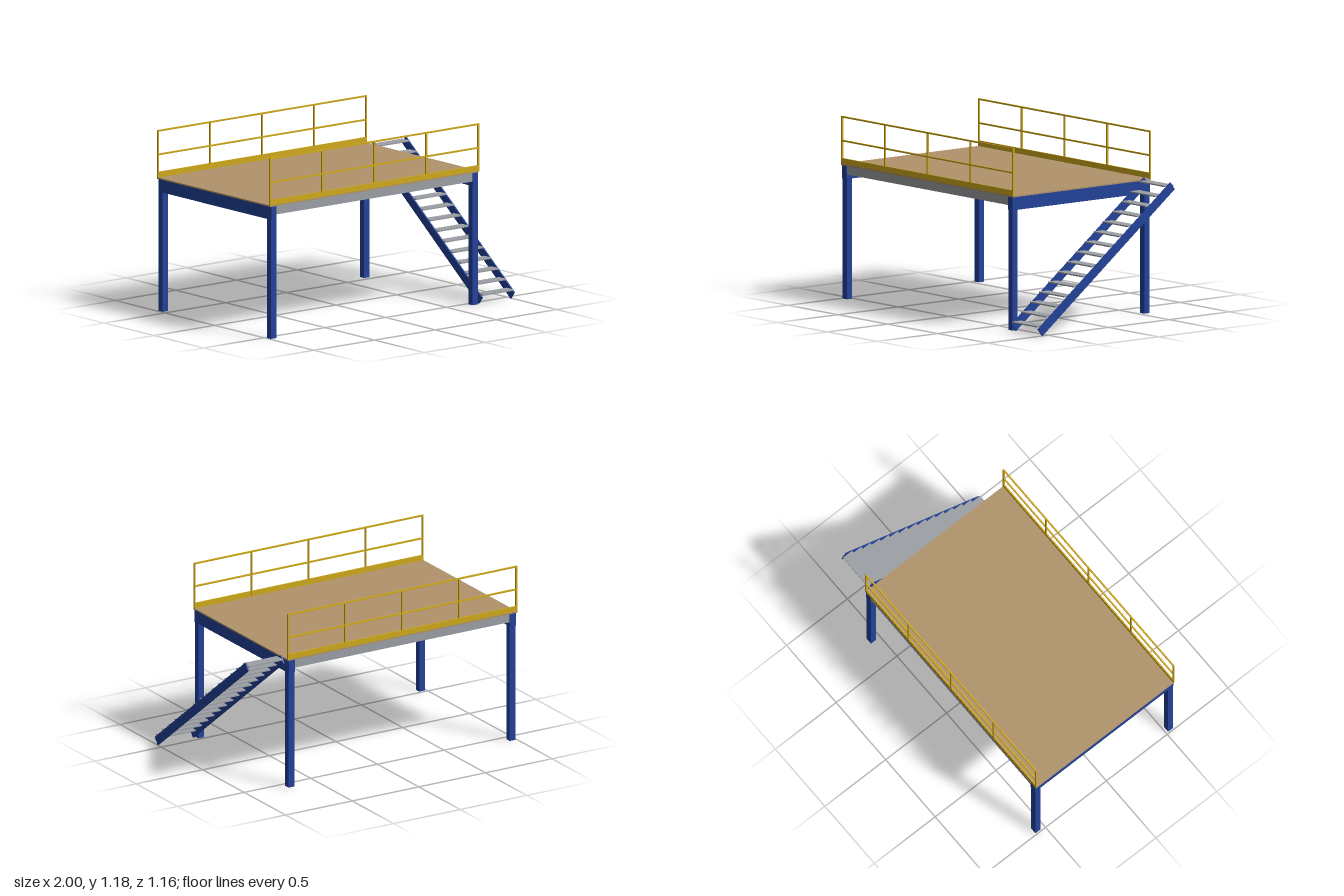
import * as THREE from 'three';

const material = (name, color) => {
  const m = new THREE.MeshStandardMaterial({ color });
  m.name = name;
  return m;
};

export function createModel() {
  const blue = material('blue steel', 0x23429a);
  const yellow = material('safety yellow', 0xd0aa1c);
  const grey = material('galvanised grey', 0x9c9fa4);
  const tan = material('tan decking', 0xb0936b);

  const model = new THREE.Group();
  model.name = 'mezzaninePlatform';

  // Box given by its lower and upper limits on each axis
  const box = (parent, name, mat, [x0, x1], [y0, y1], [z0, z1]) => {
    const mesh = new THREE.Mesh(new THREE.BoxGeometry(x1 - x0, y1 - y0, z1 - z0), mat);
    mesh.position.set((x0 + x1) / 2, (y0 + y1) / 2, (z0 + z1) / 2);
    mesh.name = name;
    parent.add(mesh);
    return mesh;
  };
  const group = (name) => {
    const g = new THREE.Group();
    g.name = name;
    model.add(g);
    return g;
  };

  const left = -1, right = 0.72, back = -0.58, front = 0.56;

  // Deck
  box(model, 'deck', tan, [left, right], [0.861, 0.87], [back, front]);

  // Posts and the two end beams
  const frame = group('frame');
  for (const x of [[-0.99, -0.946], [0.669, 0.713]]) {
    for (const z of [[-0.575, -0.534], [0.516, 0.556]]) box(frame, 'post', blue, x, [0, 0.86], z);
    box(frame, 'endBeam', blue, x, [0.776, 0.861], [back + 0.001, front - 0.001]);
  }

  // Joists between the end beams
  const joists = group('joists');
  const joistCount = 7, joistWidth = 0.045;
  for (let i = 0; i < joistCount; i++) {
    const z = THREE.MathUtils.lerp(back + 0.005, front - 0.005 - joistWidth, i / (joistCount - 1));
    box(joists, 'joist', grey, [-0.946, 0.669], [0.805, 0.861], [z, z + joistWidth]);
  }

  // Guard rails along the front and back edges
  for (const [name, z] of [['frontRail', front - 0.005], ['backRail', back + 0.005]]) {
    const rail = group(name);
    const depth = [z - 0.005, z + 0.005];
    for (let i = 0; i < 5; i++) {
      const x = THREE.MathUtils.lerp(left + 0.005, right - 0.003, i / 4);
      box(rail, 'railPost', yellow, [x - 0.005, x + 0.005], [0.868, 1.178], depth);
    }
    for (const y of [1.019, 1.173]) box(rail, 'railBar', yellow, [left, right], [y - 0.005, y + 0.005], depth);
    box(rail, 'toeBoard', yellow, [left, right], [0.868, 0.906], [z - 0.0045, z + 0.0045]);
  }

  // Stair with sloping stringers and flat treads
  const stair = group('stair');
  const side = new THREE.Shape([[-0.58, 0.045], [-0.545, 0], [0.548, 0.838], [0.513, 0.883]]
    .map(([a, b]) => new THREE.Vector2(a, b)));
  for (const x of [0.726, 0.99]) {
    const stringer = new THREE.Mesh(new THREE.ExtrudeGeometry(side, { depth: 0.01, bevelEnabled: false }), blue);
    stringer.rotation.y = Math.PI / 2;
    stringer.position.x = x;
    stringer.name = 'stringer';
    stair.add(stringer);
  }
  for (let i = 0; i < 15; i++) {
    const y = 0.06 + i * 0.0572, z = 0.582 - i * 0.0751;
    box(stair, 'tread', grey, [0.736, 0.99], [y - 0.004, y + 0.004], [z - 0.075, z]);
  }

  return model;
}
